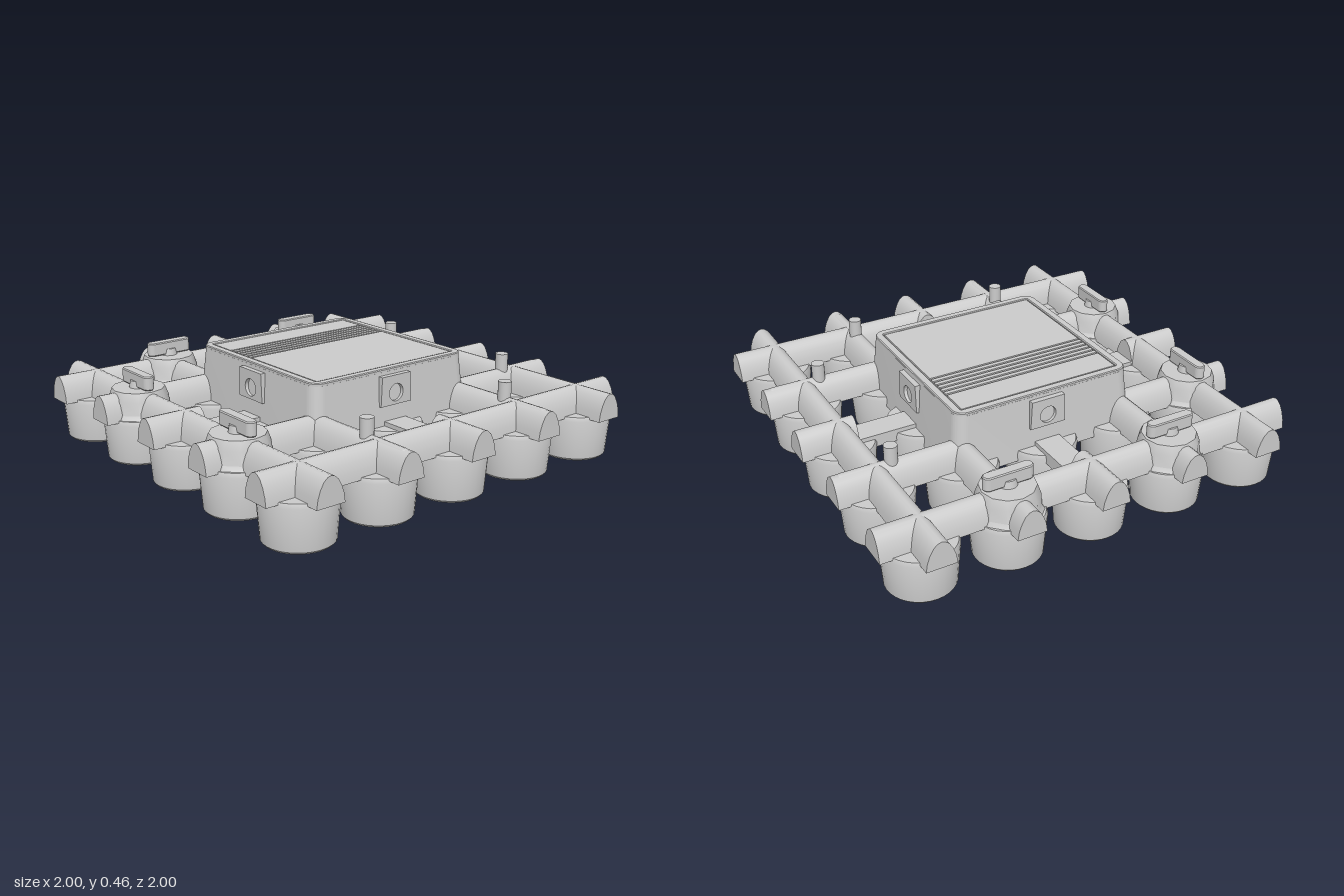
import * as THREE from 'three';
import { toCreasedNormals } from 'three/addons/utils/BufferGeometryUtils.js';

const material = new THREE.MeshStandardMaterial({ color: 0xcccccc });

function add(parent, name, geometry, x = 0, y = 0, z = 0, turn = 0) {
  const mesh = new THREE.Mesh(geometry, material);
  mesh.name = name;
  mesh.position.set(x, y, z);
  mesh.rotation.y = turn;
  parent.add(mesh);
  return mesh;
}

const lathe = (points, sides) =>
  toCreasedNormals(new THREE.LatheGeometry(points.map(([r, y]) => new THREE.Vector2(r, y)), sides), 0.6);

function roundedSquare(half, r) {
  const s = new THREE.Shape();
  const c = half - r;
  s.absarc(c, c, r, 0, Math.PI / 2);
  s.absarc(-c, c, r, Math.PI / 2, Math.PI);
  s.absarc(-c, -c, r, Math.PI, Math.PI * 1.5);
  s.absarc(c, -c, r, Math.PI * 1.5, Math.PI * 2);
  s.closePath();
  return s;
}

// Arched rail running along z, centred on z = 0
function railGeometry(length) {
  const side = [[0.068, 0.2], [0.062, 0.24], [0.05, 0.275], [0.034, 0.303], [0.016, 0.318]];
  const points = [...side, [0, 0.322], ...side.map(([x, y]) => [-x, y]).reverse()];
  const shape = new THREE.Shape(points.map(([x, y]) => new THREE.Vector2(x, y)));
  const g = new THREE.ExtrudeGeometry(shape, { depth: length, bevelEnabled: false });
  g.translate(0, 0, -length / 2);
  return toCreasedNormals(g, 0.6);
}

export function createModel() {
  const model = new THREE.Group();
  model.name = 'modularPlatform';
  const grid = [-0.8, -0.4, 0, 0.4, 0.8];

  // Hollow cups under every node
  const cup = lathe([[0, 0.17], [0.12, 0.17], [0.122, 0], [0.142, 0], [0.151, 0.01],
    [0.165, 0.19], [0.158, 0.21], [0, 0.21]], 32);
  for (const x of grid) for (const z of grid) add(model, 'cup', cup, x, 0, z);

  // Rails: full along the border, broken by the central housing elsewhere
  const longRail = railGeometry(2);
  const midRail = railGeometry(0.6);
  const stub = railGeometry(0.27);
  const strip = new THREE.BoxGeometry(0.125, 0.06, 0.36);
  for (const turn of [0, Math.PI / 2]) {
    const frame = new THREE.Group();
    frame.name = 'rails';
    frame.rotation.y = turn;
    model.add(frame);
    for (const s of [-1, 1]) {
      add(frame, 'outerRail', longRail, s * 0.8);
      for (const x of [-0.4, 0.4]) add(frame, 'innerRail', midRail, x, 0, s * 0.7);
      add(frame, 'endStub', stub, 0, 0, s * 0.865);
      add(frame, 'flatStrip', strip, 0, 0.2, s * 0.58);
    }
  }

  // Turn-lock nodes: barrel, cap disc, hub and handle
  const barrel = lathe([[0.158, 0.2], [0.14, 0.23], [0.135, 0.29], [0.12, 0.33], [0, 0.33]], 12);
  const hub = new THREE.CylinderGeometry(0.035, 0.042, 0.035, 20);
  const bar = new THREE.Shape();
  bar.absarc(0.09, 0, 0.021, -Math.PI / 2, Math.PI / 2);
  bar.absarc(-0.09, 0, 0.021, Math.PI / 2, Math.PI * 1.5);
  bar.closePath();
  const handle = new THREE.ExtrudeGeometry(bar, { depth: 0.055, bevelEnabled: true, bevelSize: 0.004, bevelThickness: 0.005, bevelSegments: 1 });
  handle.rotateX(-Math.PI / 2);
  for (const [x, z, turn] of [[-0.4, -0.8, 0], [0.4, -0.8, 0], [-0.8, -0.4, Math.PI / 2], [-0.8, 0.4, Math.PI / 2]]) {
    const lock = new THREE.Group();
    lock.name = 'turnLock';
    lock.position.set(x, 0, z);
    lock.rotation.y = turn;
    model.add(lock);
    add(lock, 'lockBarrel', barrel);
    add(lock, 'lockHub', hub, 0, 0.345, 0);
    add(lock, 'lockHandle', handle, 0, 0.34, 0);
  }

  // Locating pegs, each with a low rib running to the rail end
  const peg = new THREE.CylinderGeometry(0.03, 0.03, 0.12, 20);
  const rib = new THREE.CapsuleGeometry(0.025, 0.2, 4, 12);
  rib.rotateX(Math.PI / 2);
  for (const turn of [0, Math.PI / 2]) for (const x of [-0.4, 0.4]) {
    const group = new THREE.Group();
    group.name = 'peg';
    group.rotation.y = turn;
    model.add(group);
    add(group, 'pegPost', peg, x, 0.335, 0.73);
    add(group, 'pegRib', rib, x, 0.3, 0.855);
  }

  // Housing: rounded square block tapering toward the top
  const housing = new THREE.Group();
  housing.name = 'housing';
  model.add(housing);
  const body = new THREE.ExtrudeGeometry(roundedSquare(0.46, 0.06), { depth: 0.29, bevelEnabled: false, curveSegments: 8 });
  body.rotateX(-Math.PI / 2);
  body.translate(0, 0.16, 0);
  const p = body.attributes.position;
  for (let i = 0; i < p.count; i++) {
    const k = p.getY(i) > 0.3 ? 0.945 : 1;
    p.setXYZ(i, p.getX(i) * k, p.getY(i), p.getZ(i) * k);
  }
  add(housing, 'housingBody', toCreasedNormals(body, 0.6));

  const rimShape = roundedSquare(0.43, 0.05);
  rimShape.holes.push(roundedSquare(0.4, 0.01));
  const rim = new THREE.ExtrudeGeometry(rimShape, { depth: 0.01, bevelEnabled: true, bevelSize: 0.004, bevelThickness: 0.004, bevelSegments: 1 });
  rim.rotateX(-Math.PI / 2);
  add(housing, 'housingRim', rim, 0, 0.449, 0);

  // Lid panels with a band of vent slats between them
  const panel = (name, z0, z1) =>
    add(housing, name, new THREE.BoxGeometry(0.78, 0.02, z1 - z0), 0, 0.45, (z0 + z1) / 2);
  panel('rearPanel', -0.39, -0.255);
  panel('lidPanel', -0.09, 0.39);
  for (let i = 0; i < 5; i++) panel('ventSlat', -0.245 + i * 0.031, -0.224 + i * 0.031);

  // Port plate with a round socket on each side
  const plate = new THREE.Shape();
  plate.moveTo(-0.088, 0.3);
  plate.lineTo(0.088, 0.3);
  plate.lineTo(0.082, 0.435);
  plate.lineTo(-0.082, 0.435);
  plate.closePath();
  const socket = new THREE.Path();
  socket.absarc(0, 0.355, 0.04, 0, Math.PI * 2, true);
  plate.holes.push(socket);
  const port = toCreasedNormals(new THREE.ExtrudeGeometry(plate, { depth: 0.045, bevelEnabled: false, curveSegments: 16 }), 0.6);
  for (let i = 0; i < 4; i++) {
    const side = new THREE.Group();
    side.name = 'port';
    side.rotation.y = (i * Math.PI) / 2;
    housing.add(side);
    add(side, 'portPlate', port, 0, 0, 0.415);
  }
  return model;
}
